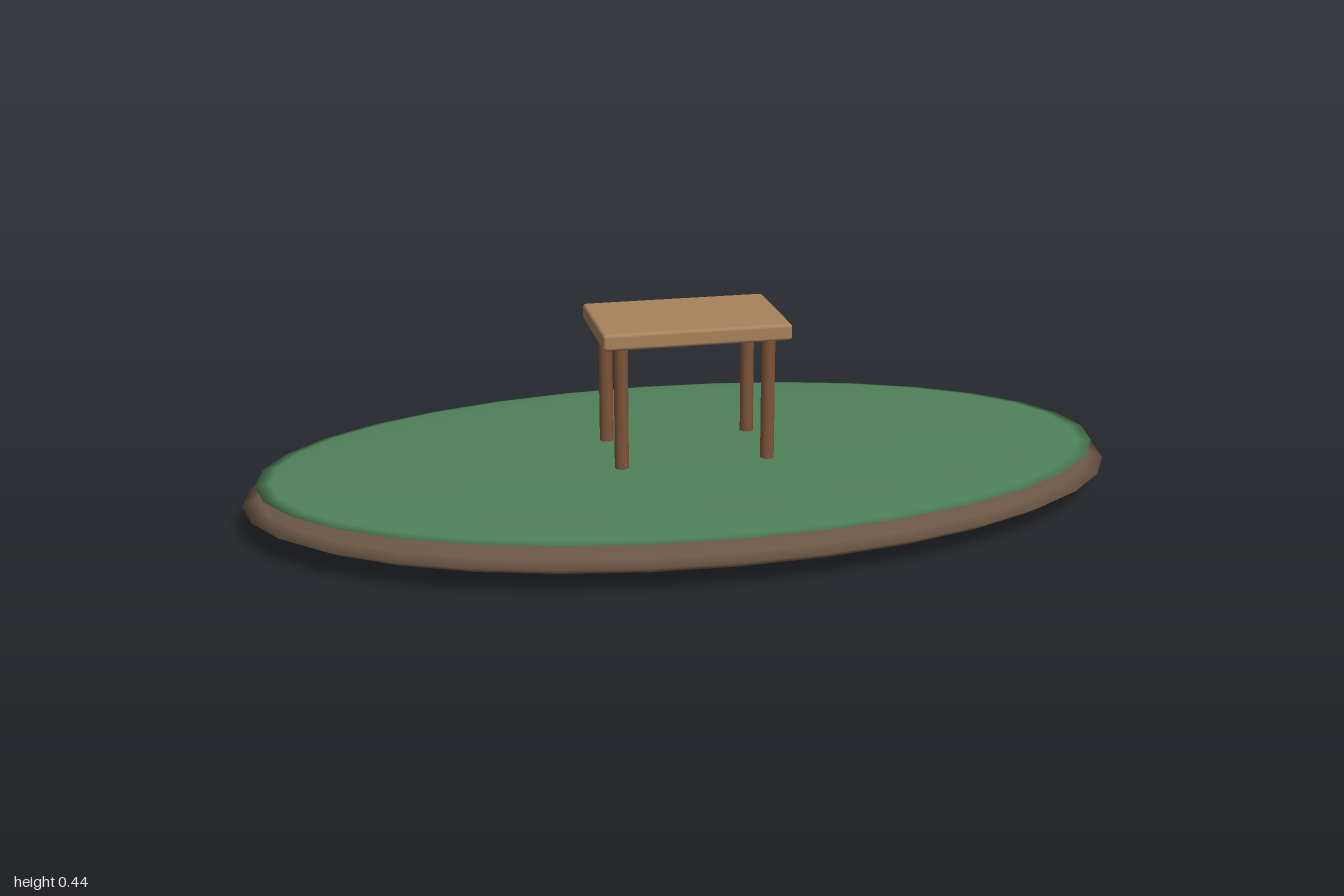
import * as THREE from 'three';
import { RoundedBoxGeometry } from 'three/addons/geometries/RoundedBoxGeometry.js';

function material(name, color) {
  const m = new THREE.MeshStandardMaterial({ color });
  m.name = name;
  return m;
}

export function createModel() {
  const soil = material('soil brown', 0x6b5644);
  const grass = material('grass green', 0x4f8259);
  const lightWood = material('light wood', 0xa9825a);
  const darkWood = material('dark wood', 0x7d5438);

  const model = new THREE.Group();
  model.name = 'tableOnIsland';

  function add(parent, name, geometry, mat, x, y, z) {
    const mesh = new THREE.Mesh(geometry, mat);
    mesh.name = name;
    mesh.position.set(x, y, z);
    parent.add(mesh);
    return mesh;
  }

  // Flattened oval mounds: soil below, grass cap on top
  const mound = (rx, ry, rz) => new THREE.SphereGeometry(1, 32, 12).scale(rx, ry, rz);
  add(model, 'soilBase', mound(1, 0.06, 0.545), soil, 0, 0.06, 0);
  add(model, 'grassCap', mound(0.97, 0.017, 0.523), grass, 0, 0.1045, 0);

  // Table with a softly rounded top and four round legs
  const table = new THREE.Group();
  table.name = 'table';
  model.add(table);
  add(table, 'tableTop', new RoundedBoxGeometry(0.424, 0.038, 0.272, 3, 0.008), lightWood, 0, 0.422, 0);

  const bottom = 0.1, top = 0.405;
  const legGeometry = new THREE.CylinderGeometry(0.016, 0.016, top - bottom, 12);
  for (const x of [-0.167, 0.167]) {
    for (const z of [-0.096, 0.096]) {
      const name = (z > 0 ? 'front' : 'back') + (x > 0 ? 'Left' : 'Right') + 'Leg';
      add(table, name, legGeometry, darkWood, x, (top + bottom) / 2, z);
    }
  }
  return model;
}
